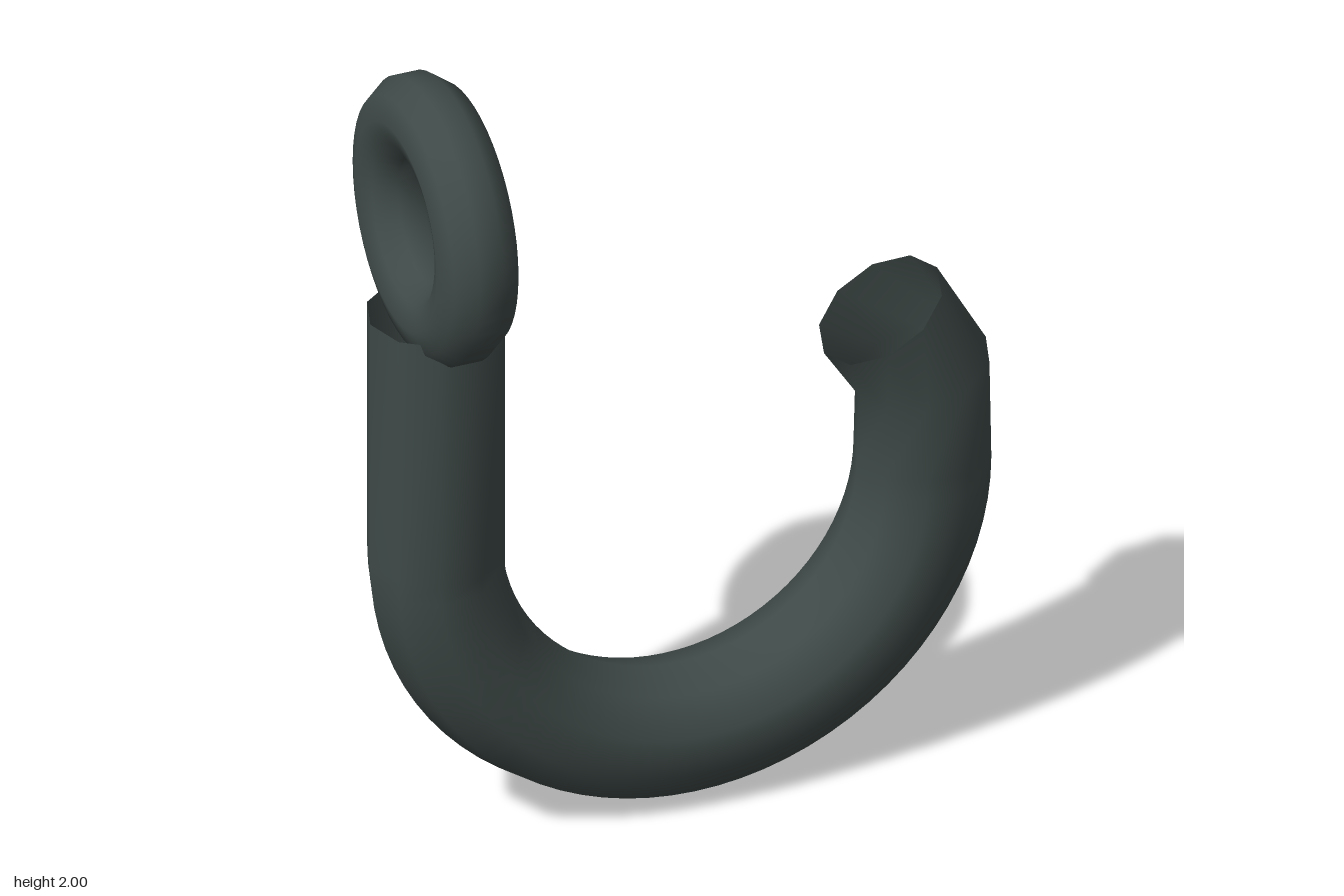
import * as THREE from 'three';

const SIDES = 10;

// Sweeps a ten-sided section of the given radius along a planar path in XY.
function sweep(path, radius, phase, closed) {
  const pos = [], index = [];
  const n = path.length;
  const dir = (a, b) => b.clone().sub(a).normalize();
  path.forEach((p, i) => {
    const prev = closed ? path[(i + n - 1) % n] : path[i - 1];
    const next = closed ? path[(i + 1) % n] : path[i + 1];
    const t = new THREE.Vector2();
    if (prev) t.add(dir(prev, p));
    if (next) t.add(dir(p, next));
    t.normalize();
    for (let j = 0; j < SIDES; j++) {
      const a = phase + (j / SIDES) * Math.PI * 2;
      const c = Math.cos(a) * radius;
      pos.push(p.x + t.y * c, p.y - t.x * c, Math.sin(a) * radius);
    }
  });
  for (let i = 0; i < (closed ? n : n - 1); i++) {
    for (let j = 0; j < SIDES; j++) {
      const k = (j + 1) % SIDES, m = ((i + 1) % n) * SIDES;
      const a = i * SIDES + j, b = i * SIDES + k;
      index.push(a, m + j, b, b, m + j, m + k);
    }
  }
  const g = new THREE.BufferGeometry();
  g.setAttribute('position', new THREE.Float32BufferAttribute(pos, 3));
  g.setIndex(index);
  g.computeVertexNormals();
  return g;
}

// Points on a circular arc.
function arc(cx, cy, r, from, to, steps) {
  return Array.from({ length: steps + 1 }, (_, i) => {
    const a = from + ((to - from) * i) / steps;
    return new THREE.Vector2(cx + r * Math.cos(a), cy + r * Math.sin(a));
  });
}

export function createModel() {
  const group = new THREE.Group();
  group.name = 'hookWithEye';
  const material = new THREE.MeshStandardMaterial({ color: 0x3f4a48, side: THREE.DoubleSide });

  // Hook: straight shank, half-circle bend, short upright and inward tip, open at both ends
  const R = 0.602;
  const path = [
    new THREE.Vector2(-R, 1.41),
    ...arc(0, 0.765, R, Math.PI, Math.PI * 2, 40),
    new THREE.Vector2(R, 0.98),
    new THREE.Vector2(0.498, 1.155),
  ];
  const hook = new THREE.Mesh(sweep(path, 0.1625, 0, false), material);
  hook.name = 'hook';
  group.add(hook);

  // Eye ring sunk into the top of the shank
  const circle = arc(0, 0, 0.248, 0, Math.PI * 2, 48).slice(0, -1);
  const eye = new THREE.Mesh(sweep(circle, 0.099, Math.PI / 2, true), material);
  eye.name = 'eyeRing';
  eye.rotation.y = Math.PI / 2;
  eye.position.set(-0.603, 1.658, 0);
  group.add(eye);

  return group;
}
